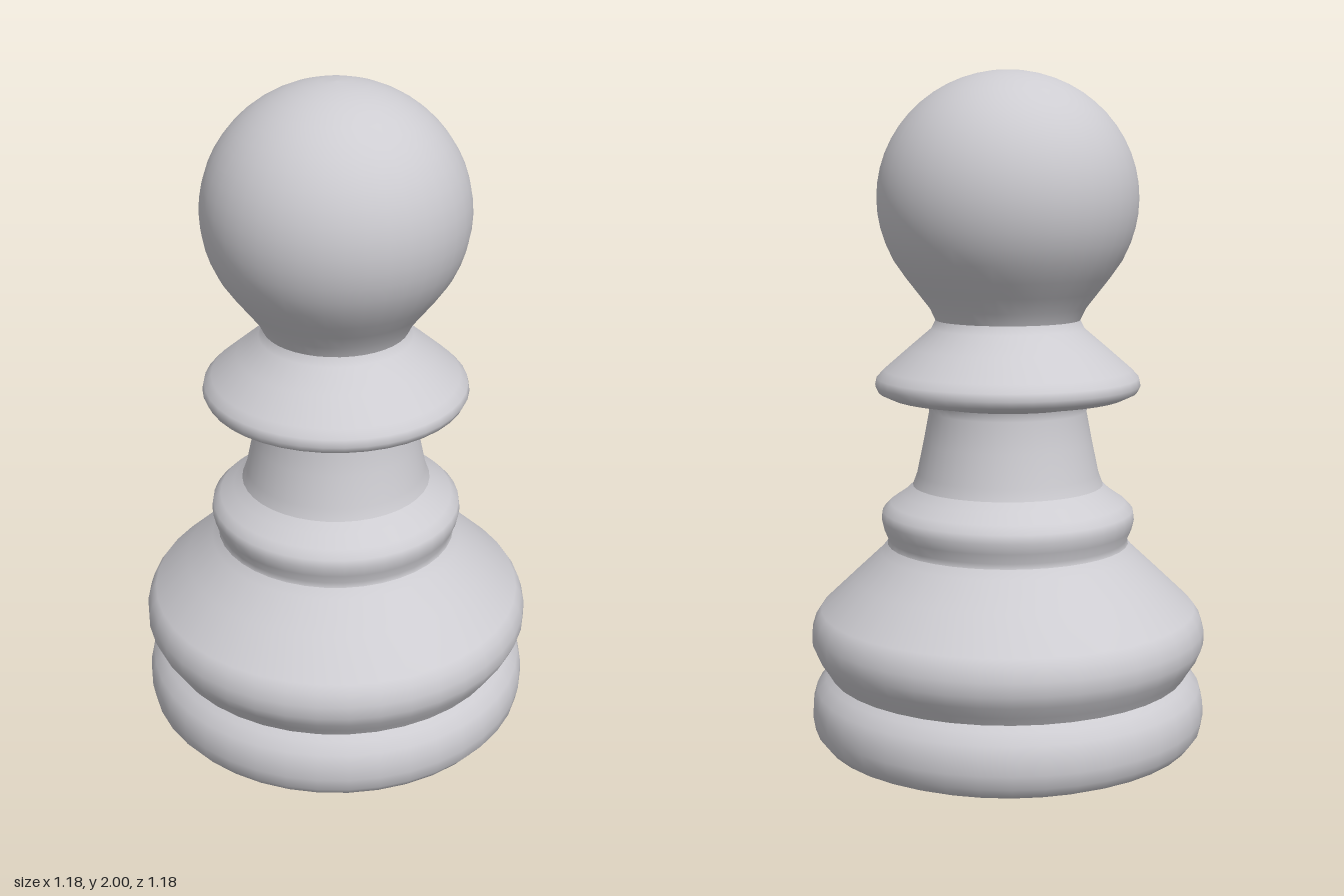
import * as THREE from 'three';

const SEGMENTS = 40;

export function createModel() {
  const model = new THREE.Group();
  model.name = 'pawn';
  const grey = new THREE.MeshStandardMaterial({ color: 0xcdccd1 });
  grey.name = 'light grey';

  // Turn a [radius, height] profile, listed bottom to top, around the y axis
  const turn = (name, profile) => {
    const points = profile.map(([r, y]) => new THREE.Vector2(r, y));
    const mesh = new THREE.Mesh(new THREE.LatheGeometry(points, SEGMENTS), grey);
    mesh.name = name;
    model.add(mesh);
  };

  // Flat underside
  turn('underside', [[0, 0], [0.45, 0.003]]);

  // Rounded foot ring up to the first groove
  turn('foot', [
    [0.45, 0.003], [0.52, 0.012], [0.56, 0.03], [0.583, 0.06], [0.59, 0.1],
    [0.588, 0.14], [0.577, 0.18], [0.55, 0.21], [0.535, 0.225],
  ]);

  // Bulging body that slopes in to the second groove
  turn('body', [
    [0.535, 0.225], [0.55, 0.25], [0.573, 0.285], [0.588, 0.32], [0.588, 0.36],
    [0.577, 0.395], [0.56, 0.42], [0.46, 0.515], [0.38, 0.59], [0.36, 0.615],
  ]);

  // Small ring at the bottom of the stem
  turn('lowerRing', [
    [0.36, 0.615], [0.357, 0.63], [0.37, 0.66], [0.377, 0.69],
    [0.373, 0.715], [0.35, 0.738], [0.31, 0.765], [0.283, 0.79],
  ]);

  // Tapered stem
  turn('stem', [
    [0.283, 0.79], [0.27, 0.825], [0.25, 0.92], [0.233, 1.01], [0.24, 1.035],
  ]);

  // Wide collar with a conical top
  turn('collar', [
    [0.24, 1.035], [0.29, 1.046], [0.35, 1.055], [0.382, 1.07], [0.392, 1.09],
    [0.387, 1.112], [0.365, 1.135], [0.29, 1.2], [0.225, 1.255], [0.213, 1.28],
  ]);

  // Ball head on a flared neck
  const head = [[0.213, 1.28], [0.23, 1.315], [0.265, 1.36], [0.3, 1.405], [0.335, 1.455]];
  for (let i = 0; i <= 16; i++) {
    const a = THREE.MathUtils.lerp(-0.36, Math.PI / 2, i / 16);
    head.push([0.382 * Math.cos(a), 1.633 + 0.367 * Math.sin(a)]);
  }
  turn('head', head);

  return model;
}
